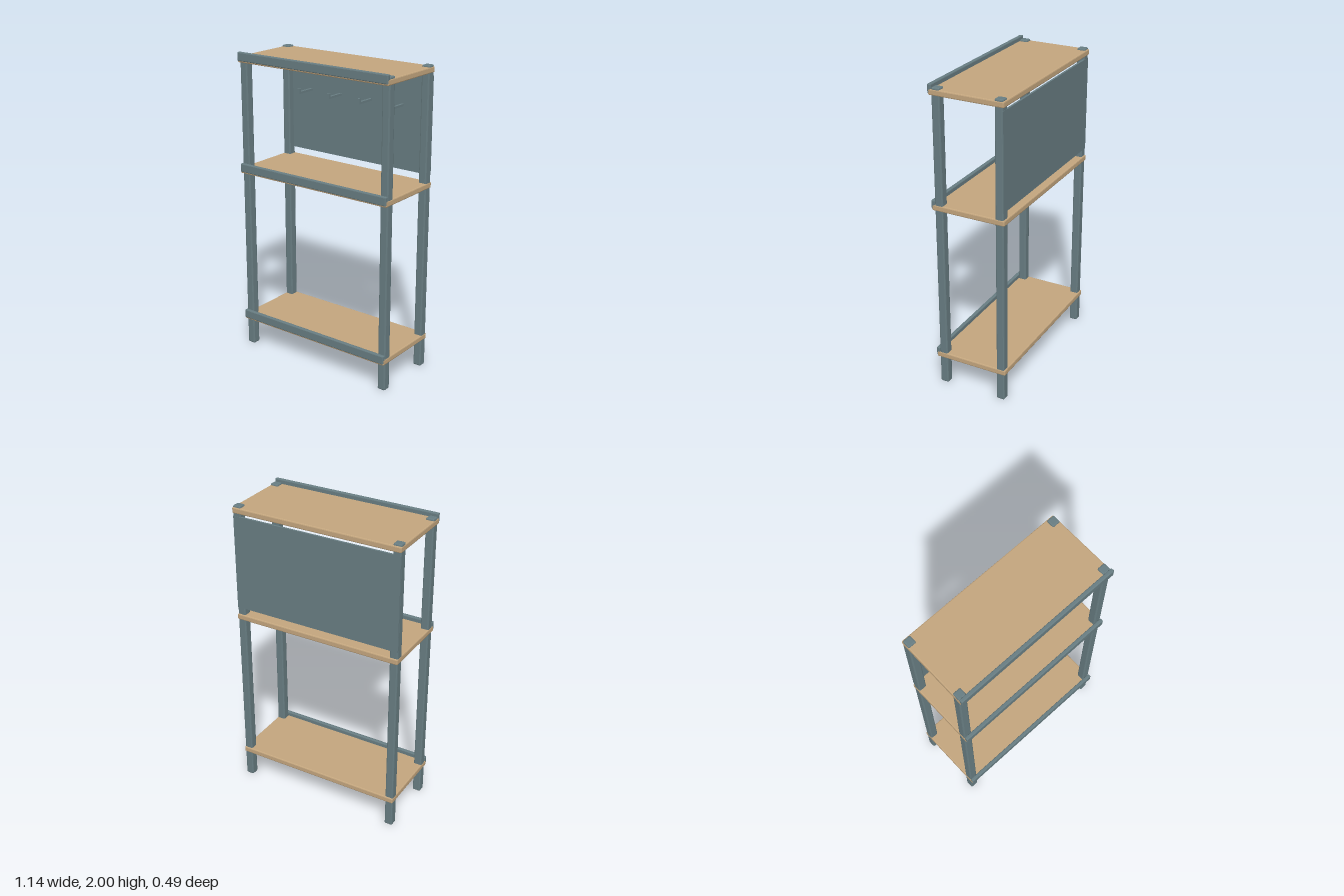
import * as THREE from 'three';
import { RoundedBoxGeometry } from 'three/addons/geometries/RoundedBoxGeometry.js';

const steel = new THREE.MeshStandardMaterial({ name: 'slatePaint', color: 0x687d82 });
const wood = new THREE.MeshStandardMaterial({ name: 'paleWood', color: 0xc4a67e });

// Box given by its [min, max] extents, with chamfered edges when bevel > 0
function box(name, material, [x0, x1], [y0, y1], [z0, z1], bevel = 0) {
  const size = [x1 - x0, y1 - y0, z1 - z0];
  const geometry = bevel ? new RoundedBoxGeometry(...size, 1, bevel) : new THREE.BoxGeometry(...size);
  if (bevel) geometry.computeVertexNormals(); // flat chamfers
  const mesh = new THREE.Mesh(geometry, material);
  mesh.name = name;
  mesh.position.set((x0 + x1) / 2, (y0 + y1) / 2, (z0 + z1) / 2);
  return mesh;
}

export function createModel() {
  const group = new THREE.Group();
  group.name = 'shelfRack';

  // Four corner posts, standing just proud of the top shelf
  for (const side of [-1, 1]) {
    const x = side * 0.539;
    const sideName = side > 0 ? 'left' : 'right';
    group.add(
      box(`${sideName}FrontPost`, steel, [x - 0.027, x + 0.027], [0, 1.983], [0.168, 0.222], 0.008),
      box(`${sideName}BackPost`, steel, [x - 0.027, x + 0.027], [0, 1.983], [-0.24, -0.186], 0.008),
    );
  }

  // Three shelves, each with a front lip rising above it
  ['bottom', 'middle', 'top'].forEach((level, i) => {
    const y = [0.182, 1.213, 1.934][i];
    group.add(
      box(`${level}Shelf`, wood, [-0.568, 0.568], [y, y + 0.038], [-0.247, 0.242], 0.007),
      box(`${level}Lip`, steel, [-0.567, 0.567], [y + 0.009, y + 0.066], [0.222, 0.247], 0.006),
    );
  });

  // Back panel across the upper bay
  group.add(box('backPanel', steel, [-0.565, 0.565], [1.297, 1.915], [-0.241, -0.228]));

  // Row of coat hooks: a peg with an upturned tip
  for (const x of [-0.355, -0.118, 0.118, 0.355]) {
    const hook = new THREE.Group();
    hook.name = 'hook';
    hook.add(
      box('hookPeg', steel, [x - 0.009, x + 0.009], [1.702, 1.716], [-0.23, -0.092]),
      box('hookTip', steel, [x - 0.009, x + 0.009], [1.702, 1.738], [-0.108, -0.092]),
    );
    group.add(hook);
  }
  return group;
}
